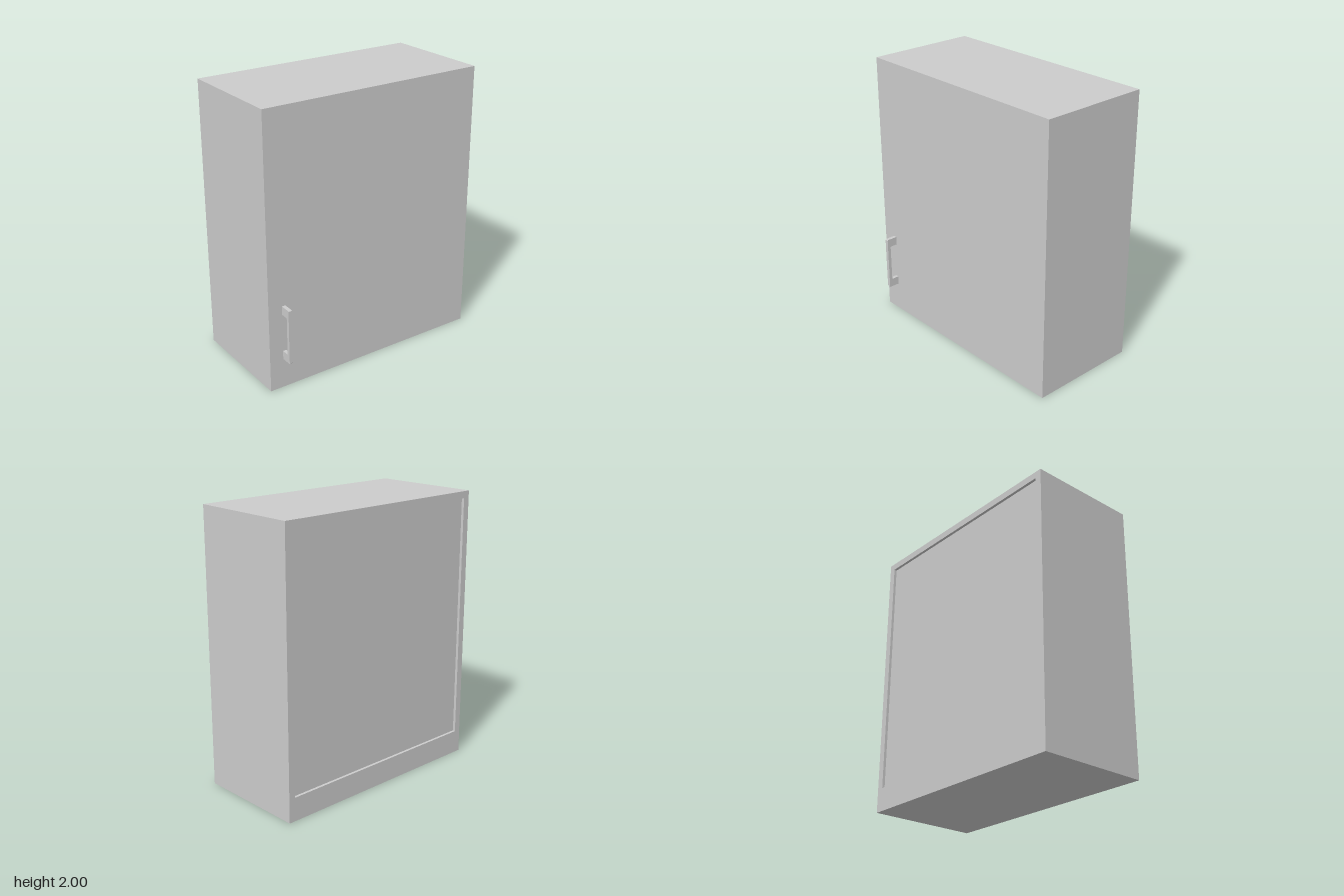
import * as THREE from 'three';

const material = new THREE.MeshStandardMaterial({ color: 0xcccccc, flatShading: true });

function addMesh(group, name, geometry, x, y, z) {
  const mesh = new THREE.Mesh(geometry, material);
  mesh.name = name;
  mesh.position.set(x, y, z);
  group.add(mesh);
  return mesh;
}

// Closed polygon from corner points
function polygon(points, Type = THREE.Shape) {
  return new Type(points.map(([x, y]) => new THREE.Vector2(x, y)));
}

function rectangle(x0, y0, x1, y1, Type) {
  return polygon([[x0, y0], [x1, y0], [x1, y1], [x0, y1]], Type);
}

export function createModel() {
  const cabinet = new THREE.Group();
  cabinet.name = 'wallCabinet';

  const halfWidth = 0.855, height = 2;
  const back = -0.45, front = 0.37, doorThickness = 0.04;
  const wall = 0.05, bottomRail = 0.17;

  // Carcass: sides, top and deep bottom rail as one open frame
  const frame = rectangle(-halfWidth, 0, halfWidth, height);
  frame.holes.push(rectangle(-halfWidth + wall, bottomRail, halfWidth - wall, height - wall, THREE.Path));
  const depth = front - doorThickness - back;
  addMesh(cabinet, 'carcass', new THREE.ExtrudeGeometry(frame, { depth, bevelEnabled: false }), 0, 0, back);

  // Back panel, set slightly into the carcass
  const panelHeight = height - wall - bottomRail;
  addMesh(cabinet, 'backPanel', new THREE.BoxGeometry(2 * (halfWidth - wall), panelHeight, 0.03),
    0, bottomRail + panelHeight / 2, back + 0.02 + 0.015);

  // Door covering the whole front
  addMesh(cabinet, 'door', new THREE.BoxGeometry(2 * halfWidth, height, doorThickness),
    0, height / 2, front - doorThickness / 2);

  // Bracket handle: side profile (distance from door, y) with small corner cuts
  const reach = 0.082, inner = 0.058, low = 0.22, high = 0.625, leg = 0.063, c = 0.005;
  const profile = polygon([
    [0, low], [reach - c, low], [reach, low + c], [reach, high - c], [reach - c, high], [0, high],
    [0, high - leg], [inner - c, high - leg], [inner, high - leg - c],
    [inner, low + leg + c], [inner - c, low + leg], [0, low + leg],
  ]);
  const handle = addMesh(cabinet, 'handle',
    new THREE.ExtrudeGeometry(profile, { depth: 0.027, bevelEnabled: false }), -0.725, 0, front);
  handle.rotation.y = -Math.PI / 2;

  return cabinet;
}
